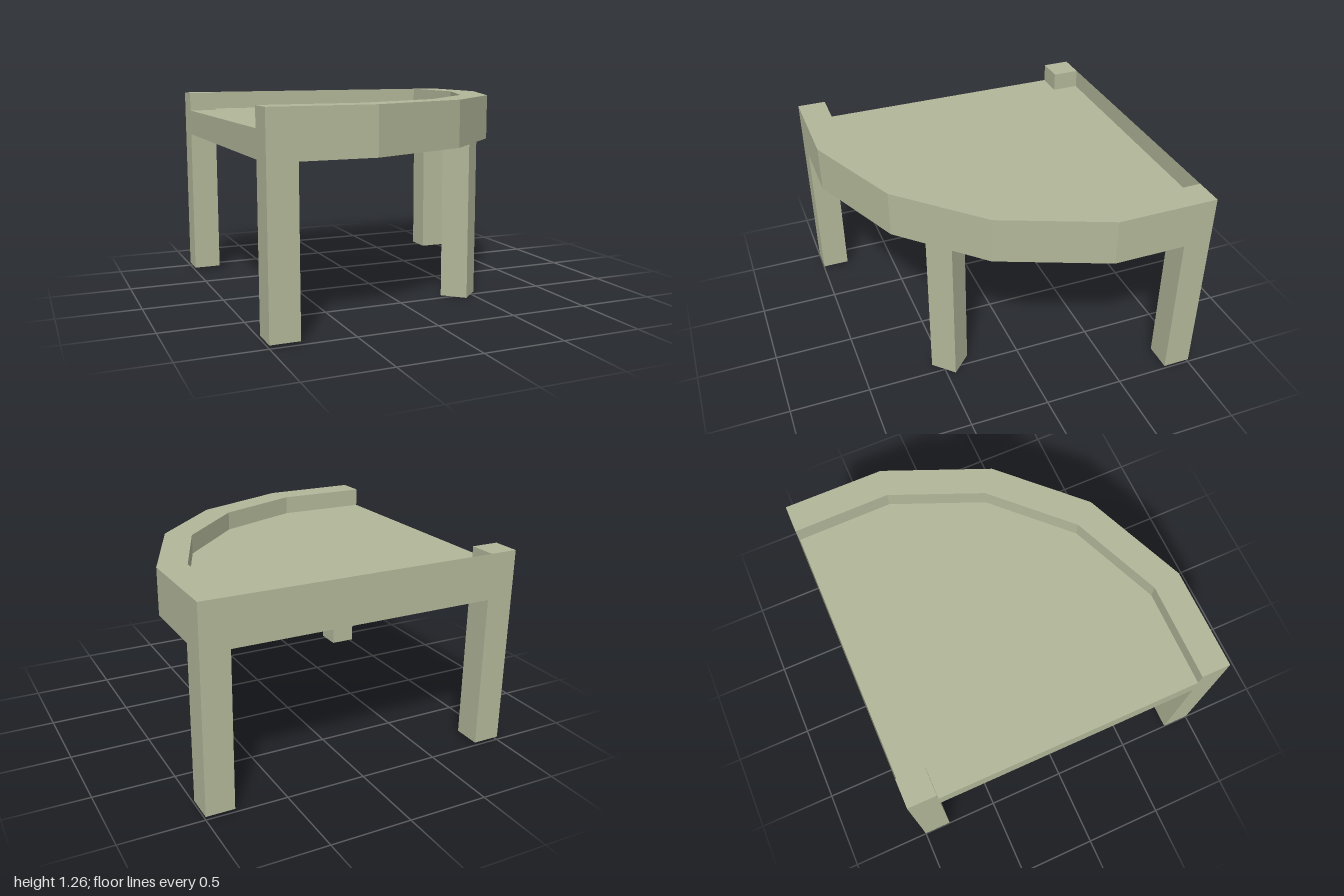
import * as THREE from 'three';

const TOP = 1.265, FLOOR = 1.145, UNDER = 0.98, FOOT = 0.02, LEG = 0.175;

export function createModel() {
  const group = new THREE.Group();
  const material = new THREE.MeshStandardMaterial({ color: 0xb2b799, flatShading: true });
  const sheet = material.clone();
  sheet.side = THREE.DoubleSide;

  const add = (name, geometry, mat = material) => {
    const mesh = new THREE.Mesh(geometry, mat);
    mesh.name = name;
    group.add(mesh);
    return mesh;
  };

  // Extrudes a plan outline of [x, z] points between two heights
  const slab = (points, bottom, top) => {
    const shape = new THREE.Shape(points.map(([x, z]) => new THREE.Vector2(x, z)));
    const geometry = new THREE.ExtrudeGeometry(shape, { depth: top - bottom, bevelEnabled: false });
    return geometry.rotateX(Math.PI / 2).translate(0, top, 0);
  };

  // Faceted quarter-round: outer and inner edges of the rim
  const outer = [[1, -1], [1, -0.375], [0.73, 0.268], [0.268, 0.73], [-0.375, 1], [-1, 1]];
  const inner = [[0.82, -1], [0.825, -0.4], [0.59, 0.16], [0.16, 0.59], [-0.4, 0.825], [-1, 0.82]];
  add('curvedRim', slab([...outer, ...[...inner].reverse()], UNDER, TOP));

  // Recessed top, notched around the corner post
  const post = -1 + LEG, back = -0.999;
  const floor = inner.map(([x, z]) => [x, Math.max(z, back)]);
  add('recessedTop', slab([...floor, [-1, post], [post, post], [post, back]], UNDER, FLOOR));

  // Thin upright panel closing the back edge
  const panel = new THREE.PlaneGeometry(0.82 - post, TOP - UNDER).rotateY(Math.PI);
  add('backPanel', panel, sheet).position.set((0.82 + post) / 2, (TOP + UNDER) / 2, -1);

  // Corner legs; the one at the square corner rises to the rim
  const near = -1 + LEG / 2, far = 1 - LEG / 2;
  for (const [name, x, z, top] of [
    ['cornerPost', near, near, TOP],
    ['backLeg', far, near, UNDER],
    ['frontLeg', near, far, UNDER],
  ]) {
    add(name, new THREE.BoxGeometry(LEG, top - FOOT, LEG)).position.set(x, (top + FOOT) / 2, z);
  }

  // Slightly longer leg under the curve, turned to the diagonal
  const middle = add('middleLeg', new THREE.BoxGeometry(0.171, UNDER, 0.171));
  middle.position.set(0.43, UNDER / 2, 0.445);
  middle.rotation.y = Math.PI / 4;

  return group;
}
